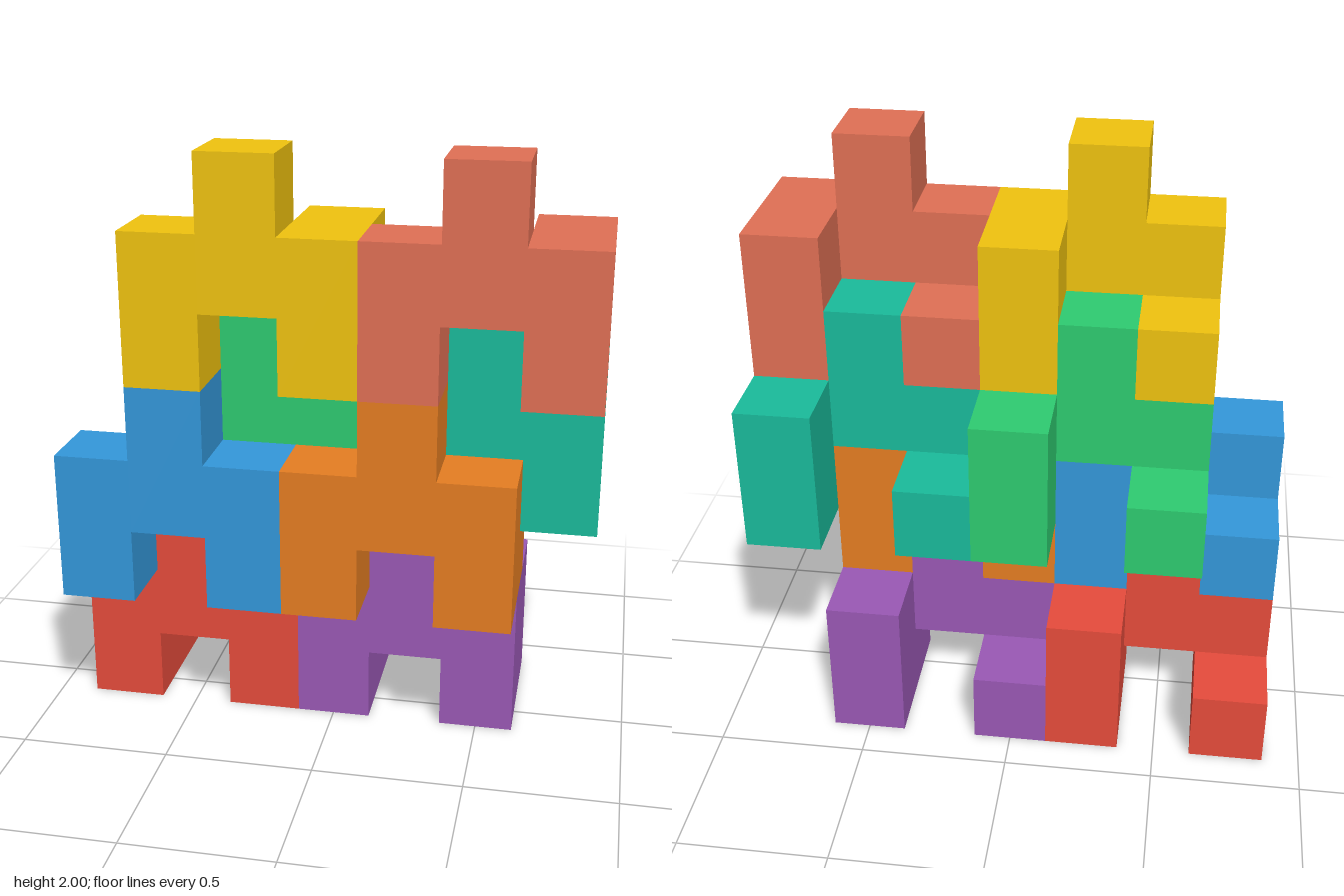
import * as THREE from 'three';

const U = 0.25; // edge of one cube cell

// Box measured in cells from its minimum corner
function cellBox(x, y, z, w, h, d) {
  return new THREE.BoxGeometry(w * U, h * U, d * U)
    .translate((x + w / 2) * U, (y + h / 2) * U, (z + d / 2) * U);
}

// L-shaped leg: two cells tall in front, one cell tall behind, one cell wide
function steppedLeg() {
  const outline = [[-1, 0], [1, 0], [1, 2], [0, 2], [0, 1], [-1, 1]];
  const shape = new THREE.Shape(outline.map(([z, y]) => new THREE.Vector2(z * U, y * U)));
  return new THREE.ExtrudeGeometry(shape, { depth: U, bevelEnabled: false })
    .rotateY(-Math.PI / 2)
    .translate(U, 0, 0);
}

// One interlocking block; its origin is the low right corner where front and rear cells meet
function createBlock(name, color) {
  const block = new THREE.Group();
  block.name = name;
  const material = new THREE.MeshStandardMaterial({ color, flatShading: true });
  const parts = {
    rightLeg: steppedLeg(),
    bridgeAndHead: cellBox(1, 1, 0, 1, 2, 1),
    leftLeg: cellBox(2, 0, -1, 1, 2, 2),
  };
  for (const [part, geometry] of Object.entries(parts)) {
    const mesh = new THREE.Mesh(geometry, material);
    mesh.name = part;
    block.add(mesh);
  }
  return block;
}

export function createModel() {
  const model = new THREE.Group();
  model.name = 'stackedBlocks';

  // name, color, column, row, depth layer of the front cells
  const blocks = [
    ['redBlock', 0xe74c3c, 0, 0, 1],
    ['purpleBlock', 0x9b59b6, 3, 0, 1],
    ['blueBlock', 0x3498db, 0, 2, 2],
    ['orangeBlock', 0xe67e22, 3, 2, 2],
    ['greenBlock', 0x2ecc71, 1, 3, 1],
    ['tealBlock', 0x1abc9c, 4, 3, 1],
    ['yellowBlock', 0xf1c40f, 1, 5, 2],
    ['coralBlock', 0xe17055, 4, 5, 2],
  ];
  for (const [name, color, column, row, layer] of blocks) {
    const block = createBlock(name, color);
    block.position.set((column - 3.5) * U, row * U, (layer - 1.5) * U);
    model.add(block);
  }
  return model;
}
